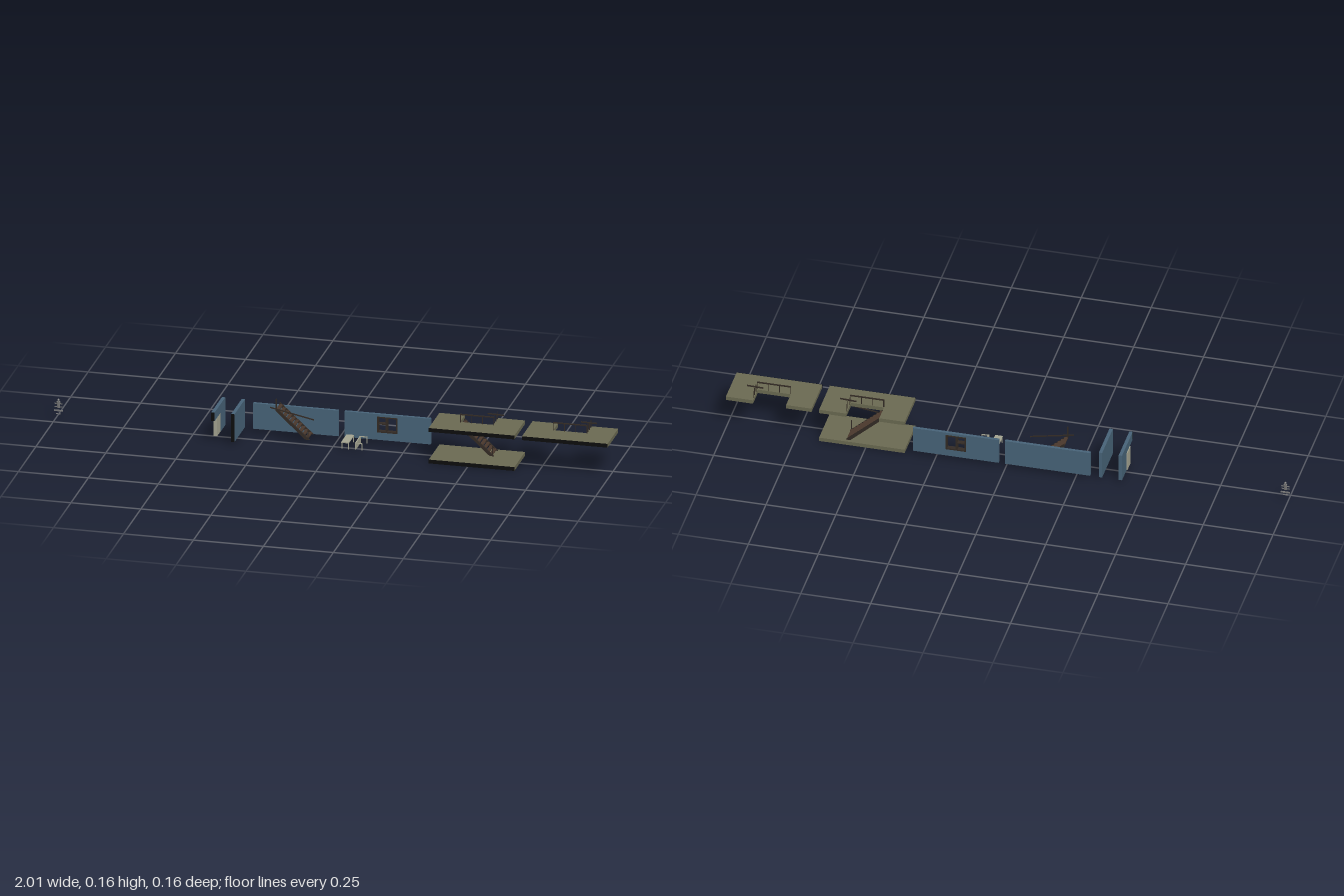
import * as THREE from 'three';

const OLIVE = 0x6b6a52, BLUE = 0x486479, DARK = 0x332b25, BROWN = 0x4a382c;
const BEIGE = 0xa5a592, BLACK = 0x0c0c0c, GREY = 0x777777;
const mats = {};
const mat = (c) => (mats[c] ??= new THREE.MeshStandardMaterial({ color: c }));

function add(parent, name, geometry, color) {
  const m = new THREE.Mesh(geometry, mat(color));
  m.name = name;
  parent.add(m);
  return m;
}

// Box given by its limits on each axis
function box(parent, name, [x0, x1], [y0, y1], [z0, z1], color) {
  const g = new THREE.BoxGeometry(x1 - x0, y1 - y0, z1 - z0);
  g.translate((x0 + x1) / 2, (y0 + y1) / 2, (z0 + z1) / 2);
  return add(parent, name, g, color);
}

// Square bar between two points
function bar(parent, name, a, b, w, h, color) {
  const p = new THREE.Vector3(...a), q = new THREE.Vector3(...b);
  const m = add(parent, name, new THREE.BoxGeometry(w, h, p.distanceTo(q)), color);
  m.position.copy(p).add(q).multiplyScalar(0.5);
  m.lookAt(q);
  return m;
}

function group(parent, name, x = 0) {
  const g = new THREE.Group();
  g.name = name;
  g.position.x = x;
  parent.add(g);
  return g;
}

const BACK = -0.075, FRONT = 0.078, CUT = 0.0775;

// Black section face along the front edge
const cutFace = (g, x, y) => box(g, 'cutFace', x, y, [CUT, FRONT], BLACK);

// Upper floor with a stair notch in its back edge and a guard rail round it
function upperFloor(root, x) {
  const g = group(root, 'upperFloor', x);
  const s = new THREE.Shape([
    [0, -CUT], [0.306, -CUT], [0.306, -BACK], [0.209, -BACK],
    [0.209, 0.007], [0.091, 0.007], [0.091, -BACK], [0, -BACK],
  ].map(([a, b]) => new THREE.Vector2(a, b)));
  const geo = new THREE.ExtrudeGeometry(s, { depth: 0.014, bevelEnabled: false });
  geo.rotateX(-Math.PI / 2).translate(0, 0.117, 0);
  add(g, 'floorSlab', geo, OLIVE);
  cutFace(g, [0, 0.306], [0.117, 0.131]);
  const zr = -0.004, xr = 0.212;
  bar(g, 'guardRail', [0.091, 0.16, zr], [xr, 0.16, zr], 0.004, 0.004, DARK);
  bar(g, 'guardRail', [xr, 0.16, zr], [xr, 0.16, -0.062], 0.004, 0.004, DARK);
  for (const px of [0.092, 0.132, 0.172, xr])
    box(g, 'railPost', [px - 0.001, px + 0.001], [0.131, 0.16], [zr - 0.001, zr + 0.001], DARK);
  for (const pz of [-0.02, -0.041, -0.061])
    box(g, 'railPost', [xr - 0.001, xr + 0.001], [0.131, 0.16], [pz - 0.001, pz + 0.001], DARK);
}

// Open stair climbing towards -x, with a handrail on its front side
function stair(root, x) {
  const g = group(root, 'stair', x);
  const run = 0.116, y0 = 0.015, rise = 0.104, n = 10;
  for (const z of [-0.0625, -0.0065]) {
    const s = new THREE.Shape([[0, 0.124], [0, 0.111], [0.105, y0], [0.121, y0]]
      .map(([a, b]) => new THREE.Vector2(a, b)));
    const geo = new THREE.ExtrudeGeometry(s, { depth: 0.005, bevelEnabled: false });
    geo.translate(0, 0, z - 0.0025);
    add(g, 'stringer', geo, DARK);
  }
  for (let i = 0; i < n; i++) {
    const cx = run - (i + 0.5) * run / n, cy = y0 + (i + 0.6) * rise / n;
    box(g, 'tread', [cx - 0.006, cx + 0.006], [cy - 0.002, cy + 0.002], [-0.06, -0.009], BROWN);
  }
  const zr = -0.0015;
  bar(g, 'handrail', [0, 0.163, zr], [0.117, 0.054, zr], 0.003, 0.004, DARK);
  for (const px of [0.002, 0.116]) {
    const base = y0 + rise * (1 - px / run);
    box(g, 'handrailPost', [px - 0.0015, px + 0.0015], [base, base + 0.04], [zr - 0.003, zr], DARK);
  }
}

function windowWall(root) {
  const g = group(root, 'windowWall');
  const rect = (P, x0, x1, y0, y1) => new P([[x0, y0], [x1, y0], [x1, y1], [x0, y1]]
    .map(([a, b]) => new THREE.Vector2(a, b)));
  const wall = rect(THREE.Shape, 0.025, 0.332, 0.015, 0.11);
  wall.holes.push(rect(THREE.Path, 0.145, 0.211, 0.045, 0.099));
  const geo = new THREE.ExtrudeGeometry(wall, { depth: 0.011, bevelEnabled: false });
  add(g, 'wallPanel', geo.translate(0, 0, BACK), BLUE);
  // Window frame, mullion and side sash bars
  const z = [-0.078, -0.062];
  for (const [a, b] of [[0.142, 0.147], [0.172, 0.178], [0.209, 0.214]])
    box(g, 'windowUpright', [a, b], [0.043, 0.101], z, DARK);
  for (const [a, b] of [[0.043, 0.048], [0.097, 0.101]])
    box(g, 'windowRail', [0.142, 0.214], [a, b], z, DARK);
  box(g, 'sashBar', [0.147, 0.172], [0.073, 0.077], z, DARK);
}

function doorWall(root) {
  const g = group(root, 'doorWall');
  const x = [-0.416, -0.404];
  box(g, 'wallPanel', x, [0.015, 0.118], [BACK, -0.008], BLUE);
  box(g, 'lintel', x, [0.086, 0.118], [-0.008, CUT], BLUE);
  cutFace(g, x, [0.086, 0.118]);
  box(g, 'door', [-0.419, -0.405], [0.015, 0.086], [-0.008, 0.037], BEIGE);
}

function furniture(root) {
  const t = group(root, 'table');
  box(t, 'tableTop', [0.042, 0.069], [0.037, 0.041], [-0.024, 0.052], BEIGE);
  for (const x of [0.044, 0.067]) for (const z of [-0.021, 0.049])
    box(t, 'tableLeg', [x - 0.0015, x + 0.0015], [0.015, 0.037], [z - 0.0015, z + 0.0015], BEIGE);
  const b = group(root, 'bench');
  box(b, 'benchBack', [0.09, 0.094], [0.016, 0.04], [-0.022, 0.05], BEIGE);
  for (const z of [-0.021, 0.047]) {
    box(b, 'armRest', [0.09, 0.117], [0.037, 0.04], [z - 0.0015, z + 0.0015], BEIGE);
    box(b, 'benchLeg', [0.114, 0.117], [0.015, 0.037], [z - 0.0015, z + 0.0015], BEIGE);
  }
}

function figure(root) {
  const g = group(root, 'figure', -0.989);
  g.position.z = -0.031;
  const head = add(g, 'head', new THREE.SphereGeometry(0.0042, 12, 8), GREY);
  head.scale.y = 1.2;
  head.position.y = 0.07;
  const torso = add(g, 'torso', new THREE.CylinderGeometry(0.007, 0.005, 0.023, 10), GREY);
  torso.scale.z = 0.55;
  torso.position.y = 0.0535;
  for (const s of [-1, 1]) {
    bar(g, 'leg', [s * 0.003, 0.044, 0], [s * 0.0045, 0.019, 0], 0.0045, 0.0045, GREY);
    bar(g, 'foot', [s * 0.0045, 0.02, -0.002], [s * 0.005, 0.02, 0.005], 0.004, 0.002, GREY);
    bar(g, 'upperArm', [s * 0.007, 0.063, 0], [s * 0.0098, 0.051, -0.001], 0.0028, 0.0028, GREY);
    bar(g, 'forearm', [s * 0.0098, 0.051, -0.001], [s * 0.008, 0.041, 0.002], 0.0026, 0.0026, GREY);
  }
}

export function createModel() {
  const root = new THREE.Group();
  root.name = 'houseSections';

  // Floors
  const ground = group(root, 'groundFloor');
  box(ground, 'floorSlab', [0.361, 0.667], [0, 0.014], [BACK, CUT], OLIVE);
  cutFace(ground, [0.361, 0.667], [0, 0.014]);
  upperFloor(root, 0.361);
  upperFloor(root, 0.694);

  // Walls
  doorWall(root);
  const side = group(root, 'sideWall');
  box(side, 'wallPanel', [-0.345, -0.333], [0.015, 0.118], [BACK, CUT], BLUE);
  cutFace(side, [-0.345, -0.333], [0.015, 0.118]);
  box(root, 'backWall', [-0.302, 0.003], [0.015, 0.11], [BACK, -0.064], BLUE);
  windowWall(root);

  // Stairs, furniture and figure
  stair(root, -0.206);
  stair(root, 0.453);
  furniture(root);
  figure(root);
  return root;
}
